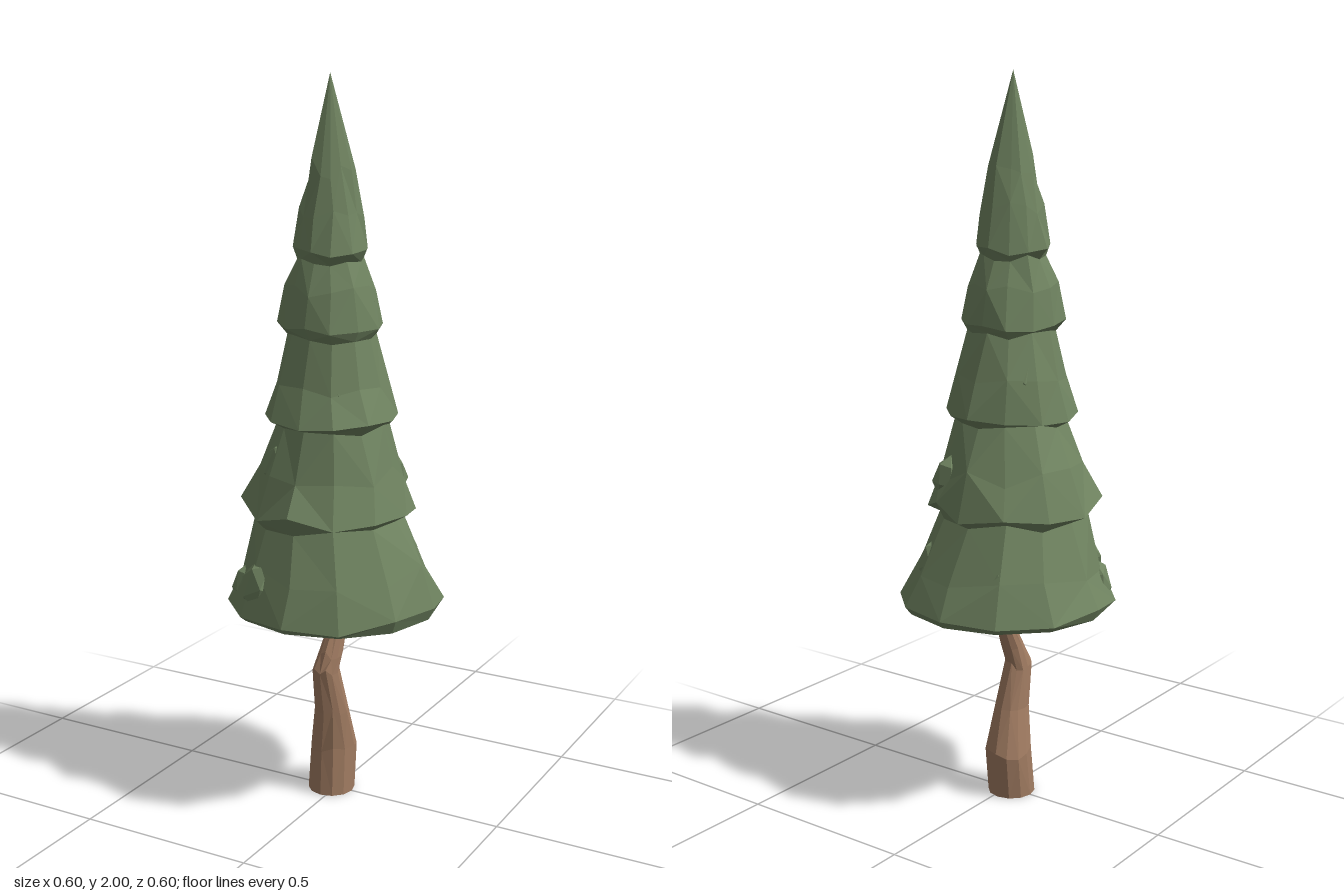
import * as THREE from 'three';

const SIDES = 12;

// Repeatable noise in -1..1
function noise(i, j) {
  const s = Math.sin(i * 127.1 + j * 311.7) * 43758.5453;
  return (s - Math.floor(s)) * 2 - 1;
}

// Closed faceted skin through rings, each a list of [x, y, z] running counter-clockwise from above
function skin(rings, bottom, top) {
  const n = rings[0].length;
  const pos = [...rings.flat(2), ...bottom, ...top];
  const b = rings.length * n, t = b + 1, index = [];
  for (let j = 0; j < n; j++) {
    const k = (j + 1) % n;
    for (let i = 0; i < rings.length - 1; i++) {
      const a = i * n + j, c = i * n + k;
      if ((i + j) % 2) index.push(a, c, c + n, a, c + n, a + n);
      else index.push(a, c, a + n, c, c + n, a + n);
    }
    index.push(b, k, j, t, (rings.length - 1) * n + j, (rings.length - 1) * n + k);
  }
  const geo = new THREE.BufferGeometry();
  geo.setAttribute('position', new THREE.Float32BufferAttribute(pos, 3));
  geo.setIndex(index);
  geo.computeVertexNormals();
  return geo;
}

// Ring of points around a centre with optional roughness
function ring(id, y, r, cx, cz, roughR = 0, roughY = 0) {
  return Array.from({ length: SIDES }, (_, j) => {
    const a = (j / SIDES) * Math.PI * 2 + noise(id + 40, j) * roughR * 0.8;
    const rr = r * (1 + noise(id, j) * roughR);
    return [cx + Math.sin(a) * rr, y + noise(id + 20, j) * roughY, cz + Math.cos(a) * rr];
  });
}

export function createModel() {
  const tree = new THREE.Group();
  tree.name = 'pineTree';
  const leaf = new THREE.MeshStandardMaterial({ color: 0x6f8360, flatShading: true });
  const bark = new THREE.MeshStandardMaterial({ color: 0xa17c62, flatShading: true });
  const add = (name, geo, mat) => {
    const m = new THREE.Mesh(geo, mat);
    m.name = name;
    tree.add(m);
    return m;
  };

  // Crooked trunk: y, radius, centre x, centre z
  const trunk = [
    [0, 0.066, -0.015, 0], [0.13, 0.065, -0.015, -0.012], [0.25, 0.048, -0.007, 0.012],
    [0.37, 0.036, -0.013, 0.036], [0.42, 0.033, -0.005, 0.022],
    [0.53, 0.024, 0.005, -0.02], [0.57, 0.024, 0.003, -0.018],
  ].map(([y, r, x, z], i) => ring(i + 60, y, r, x, z, i ? 0.06 : 0, i && i < 5 ? 0.012 : 0));
  add('trunk', skin(trunk, [-0.015, 0, 0], [0.003, 0.57, -0.018]), bark);

  // Stacked skirts: y, radius, centre x, centre z, radius roughness, height roughness
  const foliage = [
    [0.56, 0.285, 0, 0, 0, 0],
    [0.585, 0.302, 0, 0, 0, 0.018],
    [0.69, 0.258, 0, 0, 0.05, 0.03],
    [0.82, 0.202, -0.01, 0.01, 0.04, 0.012],
    [0.85, 0.238, -0.01, 0.01, 0.05, 0.02],
    [0.95, 0.195, -0.01, 0.01, 0.06, 0.03],
    [1.08, 0.152, -0.005, 0.015, 0.04, 0.01],
    [1.1, 0.188, -0.005, 0.015, 0.05, 0.01],
    [1.2, 0.153, -0.01, 0.01, 0.05, 0.025],
    [1.32, 0.12, -0.01, 0.012, 0.04, 0.01],
    [1.345, 0.142, -0.01, 0.012, 0.06, 0.012],
    [1.44, 0.116, -0.012, 0.01, 0.06, 0.02],
    [1.52, 0.088, -0.012, 0.01, 0.04, 0.01],
    [1.54, 0.103, -0.012, 0.01, 0.08, 0.015],
    [1.64, 0.083, -0.01, 0.01, 0.08, 0.025],
    [1.76, 0.06, -0.01, 0.008, 0.1, 0.03],
  ].map((r, i) => ring(i, ...r));
  add('foliage', skin(foliage, [0, 0.56, 0], [-0.012, 2, 0.01]), leaf);

  // Rough boughs half sunk into the skirts: angle, height, distance, size
  [
    [-0.5, 0.66, 0.245, 0.06], [-1.0, 0.63, 0.25, 0.05], [-2.6, 0.67, 0.235, 0.055],
    [2.5, 0.7, 0.225, 0.05], [1.5, 0.63, 0.25, 0.045], [-0.65, 0.98, 0.16, 0.06],
    [2.4, 0.93, 0.18, 0.05], [0.5, 1.2, 0.125, 0.045], [-2.2, 1.22, 0.125, 0.045],
    [1.7, 1.43, 0.092, 0.035], [3.1, 1.73, 0.042, 0.034], [-1.2, 1.6, 0.068, 0.03],
  ].forEach(([a, y, d, s], i) => {
    const bough = add('bough' + (i + 1), new THREE.IcosahedronGeometry(s, 0), leaf);
    bough.scale.set(1, 1.25, 0.6);
    bough.position.set(Math.sin(a) * d - 0.005, y, Math.cos(a) * d + 0.005);
    bough.rotation.set(-0.3, a, noise(i, 90) * 0.6, 'YXZ');
  });

  return tree;
}
